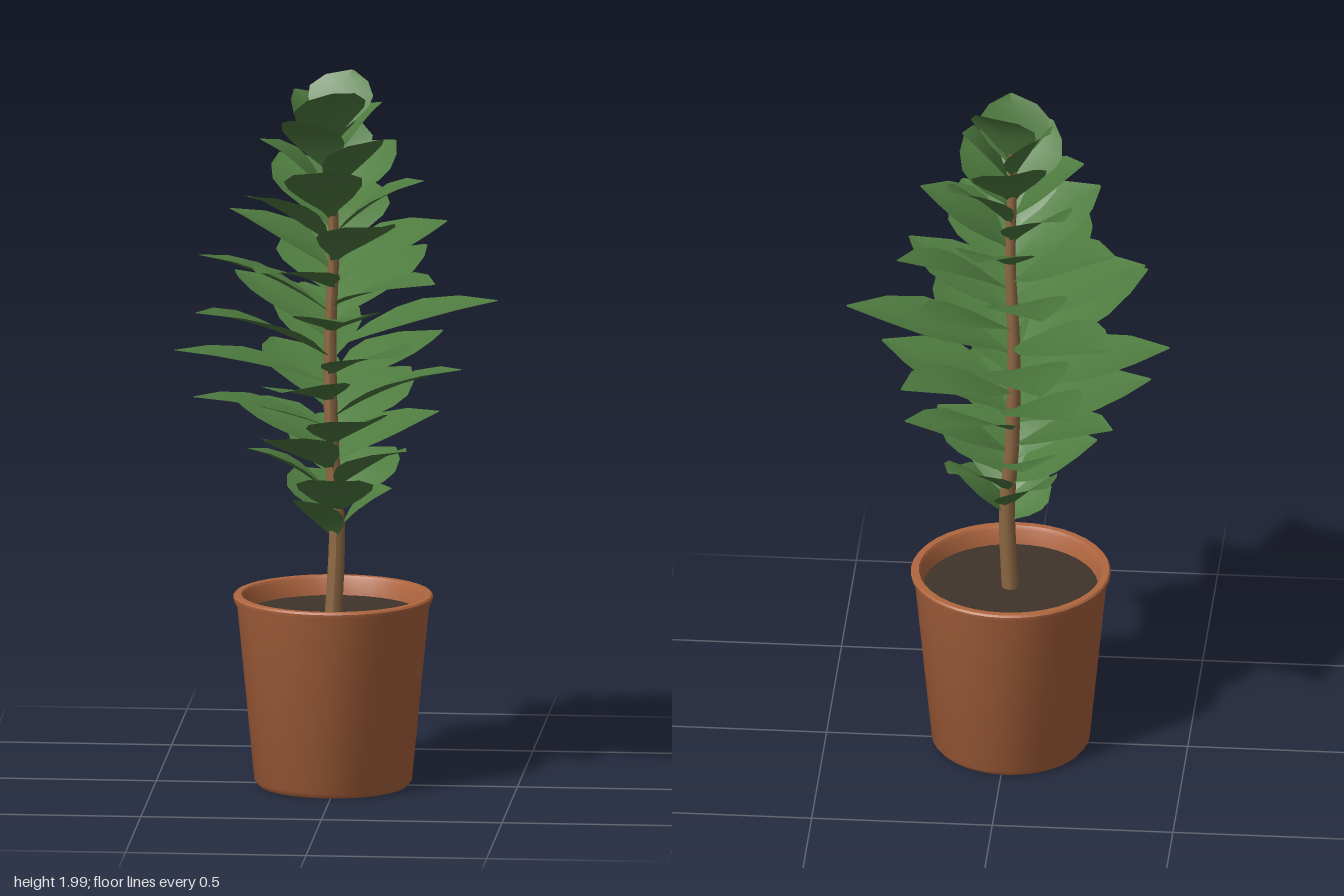
import * as THREE from 'three';
import { toCreasedNormals } from 'three/addons/utils/BufferGeometryUtils.js';

const LEAF_STEP = 0.0245;
const MIDDLE_LEAF_Y = 1.22;

const material = (color, side = THREE.FrontSide) => new THREE.MeshStandardMaterial({ color, side });

// Path of the slightly wavy stem
const stemCurve = new THREE.CatmullRomCurve3([
  [-0.01, 0.46, 0], [0, 0.72, -0.005], [-0.015, 0.95, -0.01], [-0.02, 1.25, -0.02],
  [-0.01, 1.5, -0.015], [-0.015, 1.75, -0.005], [-0.015, 1.86, 0],
].map(p => new THREE.Vector3(...p)));

// Leaf reach and rise by the height of its base: [y, reach, rise]
const habit = [
  [0.68, 0.13, 0.13], [0.8, 0.24, 0.14], [0.95, 0.33, 0.13], [1.37, 0.35, 0.14],
  [1.47, 0.3, 0.155], [1.57, 0.24, 0.175], [1.68, 0.17, 0.175], [1.81, 0.1, 0.185],
];

// The long leaves in the middle vary: [degrees off the spiral, reach, rise]
const FIRST_LONG_LEAF = -10;
const longLeaves = [
  [12, 0.34, 0.145], [12, 0.386, 0.1], [1, 0.387, 0.165], [0, 0.37, 0.14], [1, 0.443, 0.11], [-3, 0.383, 0.13],
  [-14, 0.43, 0.1], [9, 0.45, 0.13], [-16, 0.44, 0.15], [12, 0.433, 0.17], [2, 0.46, 0.14], [3, 0.394, 0.14],
  [1, 0.465, 0.12], [6, 0.38, 0.165], [6, 0.37, 0.17], [8, 0.376, 0.11], [0, 0.34, 0.13], [4, 0.4, 0.11],
];

function habitAt(y) {
  let k = 0;
  while (k < habit.length - 2 && y > habit[k + 1][0]) k++;
  const [a, b] = [habit[k], habit[k + 1]];
  const f = THREE.MathUtils.clamp((y - a[0]) / (b[0] - a[0]), 0, 1);
  return [0, THREE.MathUtils.lerp(a[1], b[1], f), THREE.MathUtils.lerp(a[2], b[2], f)];
}

function mesh(name, geometry, mat) {
  const m = new THREE.Mesh(geometry, mat);
  m.name = name;
  return m;
}

// Arched, lightly folded blade growing from the origin along +x
function leafGeometry(reach, rise) {
  const outline = [[0, 0.06], [0.1, 0.22], [0.24, 0.65], [0.4, 0.95], [0.55, 1], [0.77, 0.67], [1, 0.04]];
  const halfWidth = 0.095 + 0.06 * reach;
  const arch = new THREE.QuadraticBezierCurve(
    new THREE.Vector2(0, 0),
    new THREE.Vector2(reach * 0.5, rise * 0.8),
    new THREE.Vector2(reach, rise),
  );
  const positions = [], index = [];
  outline.forEach(([t, w], row) => {
    const p = arch.getPoint(t), d = arch.getTangent(t);
    for (const s of [-1, 0, 1]) {
      const lift = Math.abs(s) * w * halfWidth * 0.14;
      positions.push(p.x - d.y * lift, p.y + d.x * lift, s * w * halfWidth);
    }
    if (row === 0) return;
    for (const c of [0, 1]) {
      const a = (row - 1) * 3 + c, b = a + 3;
      index.push(a, a + 1, b, a + 1, b + 1, b);
    }
  });
  const g = new THREE.BufferGeometry();
  g.setAttribute('position', new THREE.Float32BufferAttribute(positions, 3));
  g.setIndex(index);
  g.computeVertexNormals();
  return g;
}

// Tube whose radius shrinks towards the top
function stemGeometry(bottomRadius, topRadius) {
  const rows = 32, sides = 10;
  const g = new THREE.TubeGeometry(stemCurve, rows, bottomRadius, sides);
  const pos = g.attributes.position, v = new THREE.Vector3();
  for (let i = 0; i < pos.count; i++) {
    const t = Math.floor(i / (sides + 1)) / rows;
    const centre = stemCurve.getPointAt(t);
    const scale = THREE.MathUtils.lerp(1, topRadius / bottomRadius, t);
    v.fromBufferAttribute(pos, i).sub(centre).multiplyScalar(scale).add(centre);
    pos.setXYZ(i, v.x, v.y, v.z);
  }
  g.computeVertexNormals();
  return g;
}

export function createModel() {
  const model = new THREE.Group();
  model.name = 'pottedPlant';

  // Tapered pot with a slim lip and a hollow top
  const profile = [
    [0, 0], [0.206, 0], [0.218, 0.015], [0.265, 0.5], [0.275, 0.52], [0.276, 0.53],
    [0.272, 0.535], [0.254, 0.535], [0.247, 0.525], [0.238, 0.46],
  ].map(p => new THREE.Vector2(...p));
  const pot = mesh('pot', toCreasedNormals(new THREE.LatheGeometry(profile, 40), 0.6), material(0xb0663f));
  pot.position.x = -0.01;
  model.add(pot);

  // Soil
  const soil = mesh('soil', new THREE.CylinderGeometry(0.241, 0.238, 0.025, 40), material(0x40342a));
  soil.position.set(-0.01, 0.47, 0);
  model.add(soil);

  // Stem
  model.add(mesh('stem', stemGeometry(0.025, 0.012), material(0x8d6843)));

  // Leaves in a golden-angle spiral up the stem, each rolled a little
  const leaves = new THREE.Group();
  leaves.name = 'leaves';
  const green = material(0x4f7c40, THREE.DoubleSide);
  for (let k = -22; k <= 24; k++) {
    const y = MIDDLE_LEAF_Y + k * LEAF_STEP;
    const [turn, reach, rise] = longLeaves[k - FIRST_LONG_LEAF] ?? habitAt(y);
    const leaf = mesh('leaf', leafGeometry(reach, rise), green);
    const base = stemCurve.getPoint(THREE.MathUtils.clamp((y - 0.46) / 1.4, 0, 1));
    leaf.position.set(base.x, y, base.z);
    const azimuth = THREE.MathUtils.degToRad(-5 - 137.5 * k + turn);
    leaf.rotation.set(0.05 + 0.07 * Math.sin(k * 1.7), -azimuth, 0, 'YXZ');
    leaves.add(leaf);
  }
  model.add(leaves);

  return model;
}
